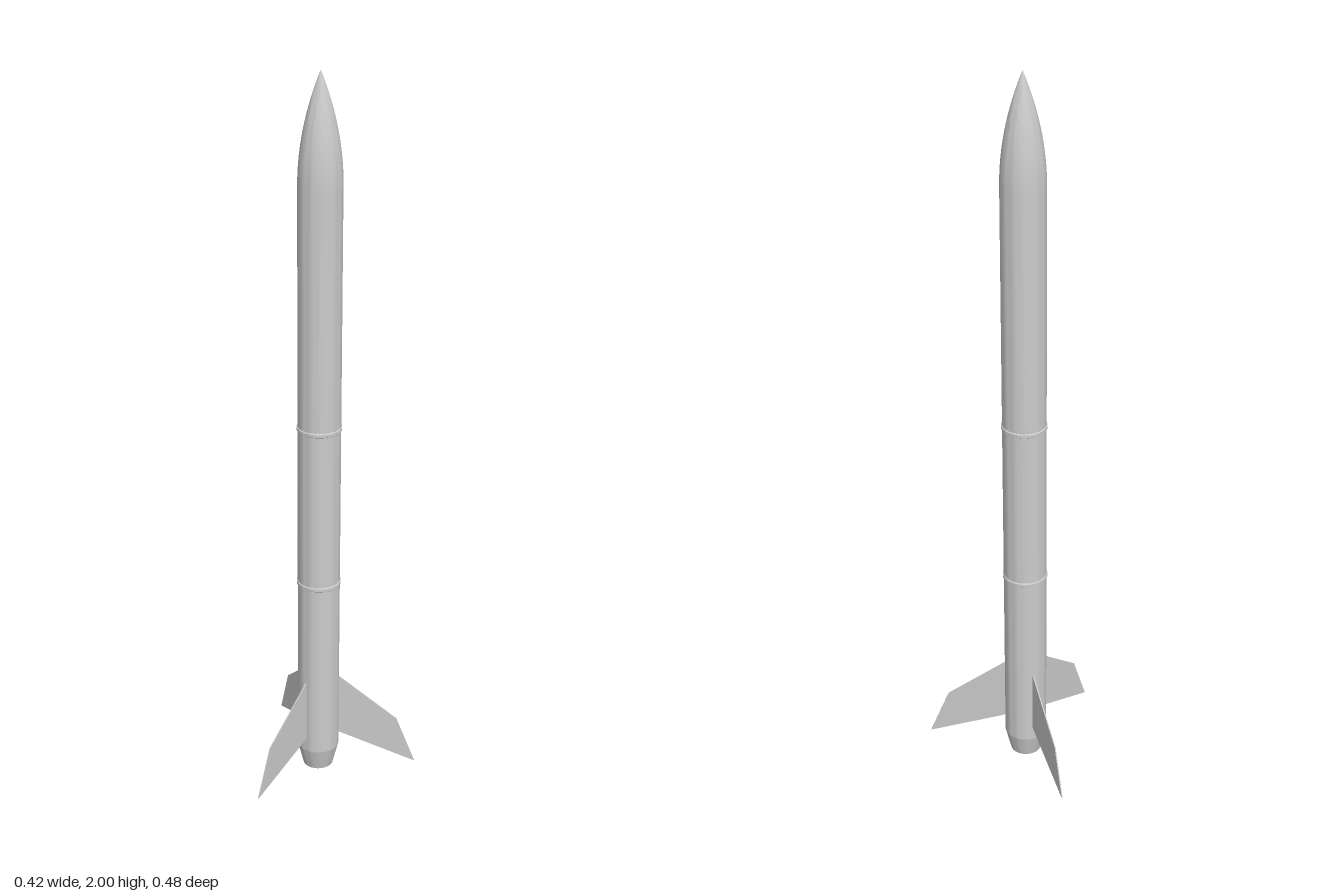
import * as THREE from 'three';
import { toCreasedNormals } from 'three/addons/utils/BufferGeometryUtils.js';

const R = 0.058;   // body radius
const SEG = 48;

export function createModel() {
  const model = new THREE.Group();
  model.name = 'rocket';
  const grey = new THREE.MeshStandardMaterial({ color: 0xcccccc, side: THREE.DoubleSide });

  // everything turns around one axis, set off from the origin by the uneven fins
  const rocket = new THREE.Group();
  rocket.name = 'airframe';
  rocket.position.x = 0.068;
  model.add(rocket);

  const add = (name, geometry) => {
    const mesh = new THREE.Mesh(geometry, grey);
    mesh.name = name;
    rocket.add(mesh);
    return mesh;
  };
  const lathe = (name, points) => add(name, toCreasedNormals(
    new THREE.LatheGeometry(points.map(([r, y]) => new THREE.Vector2(r, y)), SEG), 0.5));

  // body tube
  lathe('bodyTube', [[R, 0.065], [R, 1.71]]);

  // rounded, pointed nose
  const noseBase = 1.71, noseLength = 0.29;
  const nose = [];
  for (let i = 0; i <= 16; i++) {
    const t = i / 16;
    nose.push([R * (1 - t * t), noseBase + noseLength * t]);
  }
  lathe('noseCone', nose);

  // tapered tail with a hollow motor tube
  lathe('tailCone', [[0, 0.3], [0.036, 0.3], [0.036, 0], [0.042, 0], [R, 0.065]]);

  // thin raised bands at the body joints
  for (const y of [0.59, 1.05]) {
    lathe('jointBand', [[R, y - 0.006], [0.0605, y - 0.004], [0.0605, y + 0.004], [R, y + 0.006]]);
  }

  // three swept fins
  const finShape = new THREE.Shape([
    [0.055, 0.105], [0.277, 0.023], [0.223, 0.16], [0.055, 0.29],
  ].map(([r, y]) => new THREE.Vector2(r, y)));
  const thickness = 0.003;
  const finGeometry = new THREE.ExtrudeGeometry(finShape, { depth: thickness, bevelEnabled: false });
  finGeometry.translate(0, 0, -thickness / 2);
  for (let i = 0; i < 3; i++) {
    add('fin', finGeometry).rotation.y = Math.PI + i * Math.PI * 2 / 3;
  }

  return model;
}
